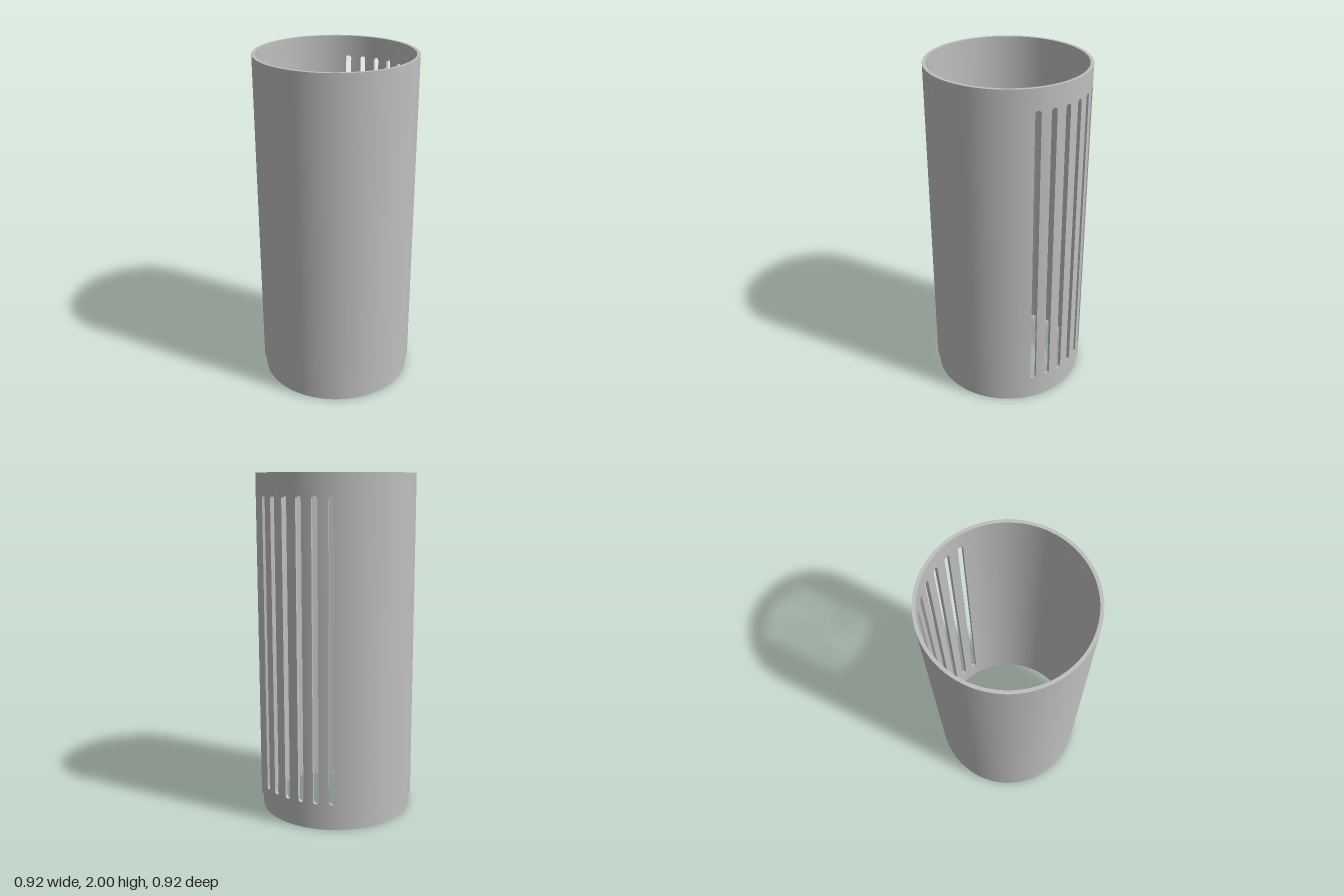
import * as THREE from 'three';
import { mergeGeometries } from 'three/addons/utils/BufferGeometryUtils.js';

const OUTER = 0.462, INNER = 0.443, COLLAR = 0.45;
const STEP_Y = 0.082, TOP_Y = 2;
const BAND_LOW = 0.12, BAND_HIGH = 1.92; // height range of the slotted band
const SLOT_LOW = 0.156, SLOT_HIGH = 1.881, SLOT_HALF = 0.0172;
const DEG = Math.PI / 180;
const SLOTS = 6, PITCH = 11.4 * DEG, CELL_HALF = 3.2 * DEG;

// Revolves each profile edge separately, so corners stay sharp and walls smooth
function revolve(profile, start = 0, sweep = Math.PI * 2, segments = 120) {
  const strips = [];
  for (let i = 0; i < profile.length - 1; i++) {
    const edge = [profile[i], profile[i + 1]].map(([r, y]) => new THREE.Vector2(r, y));
    strips.push(new THREE.LatheGeometry(edge, segments, start, sweep));
  }
  return mergeGeometries(strips);
}

// A narrow panel of wall with one round-ended slot, bent around the axis
function slotPanel(angle) {
  const half = CELL_HALF * OUTER;
  const shape = new THREE.Shape([
    new THREE.Vector2(-half, BAND_LOW), new THREE.Vector2(half, BAND_LOW),
    new THREE.Vector2(half, BAND_HIGH), new THREE.Vector2(-half, BAND_HIGH),
  ]);
  const slot = new THREE.Path();
  slot.absarc(0, SLOT_HIGH - SLOT_HALF, SLOT_HALF, 0, Math.PI, false);
  slot.absarc(0, SLOT_LOW + SLOT_HALF, SLOT_HALF, Math.PI, Math.PI * 2, false);
  slot.closePath();
  shape.holes.push(slot);
  const flat = new THREE.ExtrudeGeometry(shape, {
    depth: OUTER - INNER, bevelEnabled: false, curveSegments: 10,
  });

  const p = flat.attributes.position, n = flat.attributes.normal;
  const positions = [], normals = [];
  const onRim = (i) => Math.abs(Math.abs(p.getX(i)) - half) < 1e-5
    || Math.abs(p.getY(i) - BAND_LOW) < 1e-5 || Math.abs(p.getY(i) - BAND_HIGH) < 1e-5;
  for (let t = 0; t < p.count; t += 3) {
    // Leave out the panel's outer edges, which join the neighbouring wall
    if (Math.abs(n.getZ(t)) < 0.5 && onRim(t) && onRim(t + 1) && onRim(t + 2)) continue;
    for (let i = t; i < t + 3; i++) {
      const a = angle + p.getX(i) / OUTER, r = INNER + p.getZ(i);
      const s = Math.sin(a), c = Math.cos(a);
      positions.push(r * s, p.getY(i), r * c);
      normals.push(n.getX(i) * c + n.getZ(i) * s, n.getY(i), n.getZ(i) * c - n.getX(i) * s);
    }
  }
  const bent = new THREE.BufferGeometry();
  bent.setAttribute('position', new THREE.Float32BufferAttribute(positions, 3));
  bent.setAttribute('normal', new THREE.Float32BufferAttribute(normals, 3));
  return bent;
}

export function createModel() {
  const group = new THREE.Group();
  group.name = 'slottedSleeve';
  const grey = new THREE.MeshStandardMaterial({ color: 0xbfbfbf });
  grey.name = 'grey';

  const add = (name, geometry) => {
    const mesh = new THREE.Mesh(geometry, grey);
    mesh.name = name;
    group.add(mesh);
  };

  // Stepped base collar and top rim
  add('baseCollar', revolve([
    [INNER, BAND_LOW], [INNER, 0], [COLLAR, 0], [COLLAR, STEP_Y], [OUTER, STEP_Y], [OUTER, BAND_LOW],
  ]));
  add('topRim', revolve([
    [OUTER, BAND_HIGH], [OUTER, TOP_Y], [INNER, TOP_Y], [INNER, BAND_HIGH],
  ]));

  // Solid wall: outside and inside skins over part of the circle
  const wall = (name, start, sweep, segments) => add(name, mergeGeometries([
    revolve([[OUTER, BAND_LOW], [OUTER, BAND_HIGH]], start, sweep, segments),
    revolve([[INNER, BAND_HIGH], [INNER, BAND_LOW]], start, sweep, segments),
  ]));

  // Slots fan out evenly about the +x side, with solid bars between them
  const first = Math.PI / 2 - PITCH * (SLOTS - 1) / 2;
  for (let i = 0; i < SLOTS; i++) {
    const angle = first + i * PITCH;
    add('slotPanel' + (i + 1), slotPanel(angle));
    if (i < SLOTS - 1) wall('bar' + (i + 1), angle + CELL_HALF, PITCH - 2 * CELL_HALF, 2);
  }
  const fan = PITCH * (SLOTS - 1) + 2 * CELL_HALF;
  wall('mainWall', first - CELL_HALF + fan, Math.PI * 2 - fan, 100);

  return group;
}
